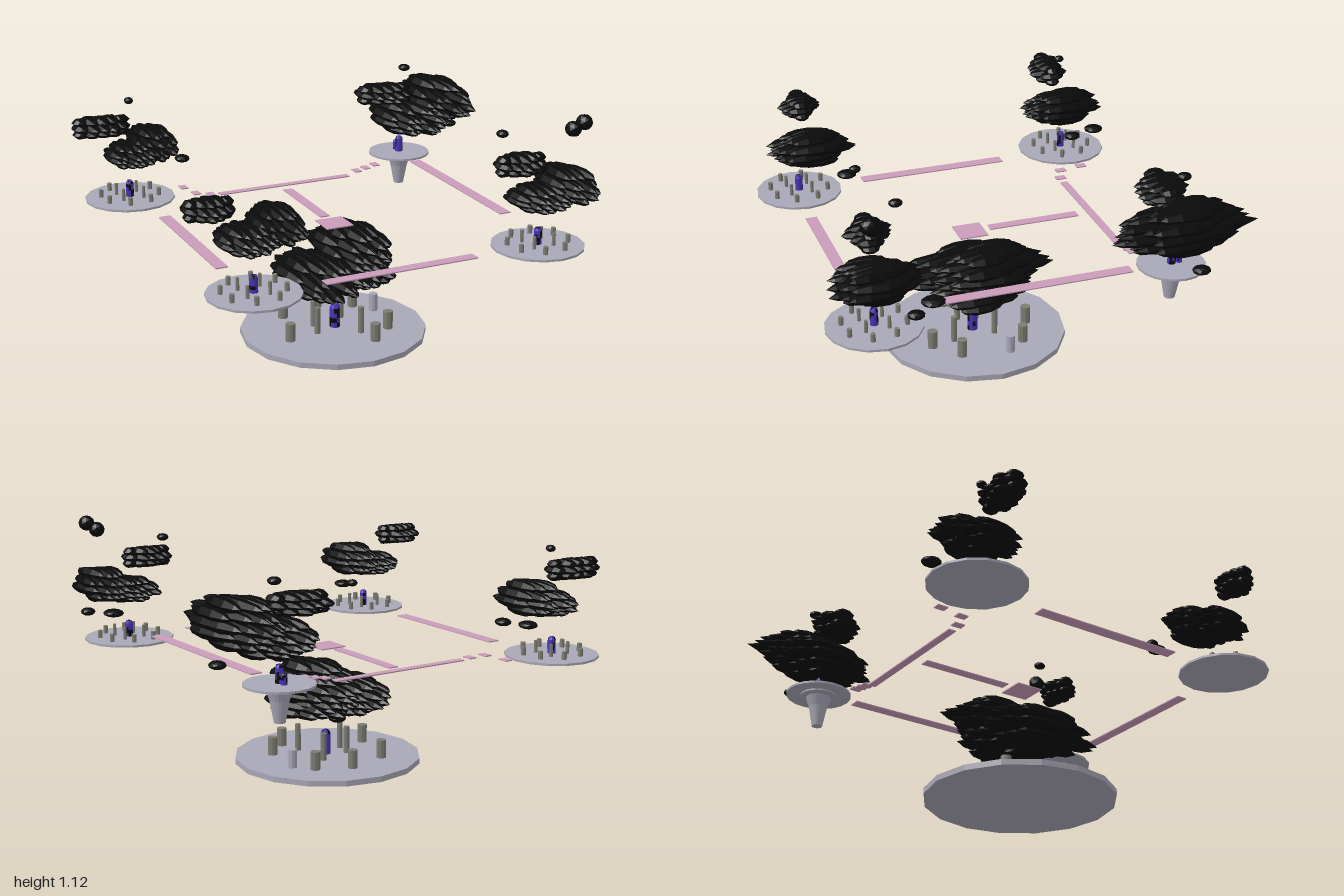
import * as THREE from 'three';
import { mergeGeometries } from 'three/addons/utils/BufferGeometryUtils.js';

const mat = (name, color) => {
  const m = new THREE.MeshStandardMaterial({ color, flatShading: true });
  m.name = name;
  return m;
};

export function createModel() {
  const model = new THREE.Group();
  model.name = 'floatingIslands';
  const stone = mat('paleStone', 0xa9a7b6);
  const pillarMat = mat('greyPillar', 0x7d7c72);
  const pink = mat('pinkWalkway', 0xc99cba);
  const violet = mat('violetCrystal', 0x4a34b8);
  const black = mat('blackLeaf', 0x0a0a0a);

  let seed = 7;
  const rand = () => (seed = (seed * 16807) % 2147483647) / 2147483647;

  const add = (name, geometry, material, x = 0, y = 0, z = 0, parent = model) => {
    const m = new THREE.Mesh(geometry, material);
    m.name = name;
    m.position.set(x, y, z);
    parent.add(m);
    return m;
  };
  // Upright cylinder standing on height y
  const post = (name, r, h, sides, material, x, y, z) =>
    add(name, new THREE.CylinderGeometry(r, r, h, sides), material, x, y + h / 2, z);

  // Domed crystal post with scattered dark facets
  const crystal = (r, h, x, y, z) => {
    const profile = [[r, 0], [r, 0.2], [r, 0.4], [r, 0.6], [r, 0.8], [r * 0.75, 0.94], [0, 1]]
      .map(([a, b]) => new THREE.Vector2(a, b * h));
    const g = new THREE.LatheGeometry(profile, 10);
    for (let i = 0; i < g.index.count; i += 6) g.addGroup(i, 6, rand() < 0.3 ? 1 : 0);
    add('crystal', g, [violet, black], x, y, z);
  };

  // Cluster of pointed leaves lying along z, filling an ellipsoid
  const canopy = (x, y, z, rx, ry, rz, nx = 6, ny = 4) => {
    const leaves = [];
    for (let i = 0; i < nx; i++) {
      for (let j = 0; j < ny; j++) {
        const u = ((i + 0.5) / nx) * 2 - 1, v = ((j + 0.5) / ny) * 2 - 1;
        const d = u * u + v * v;
        if (d > 1.15) continue;
        const half = rz * Math.max(0.4, Math.sqrt(Math.max(0, 1.1 - d))) * (0.82 + 0.2 * rand());
        const leaf = new THREE.SphereGeometry(1, 6, 5);
        leaf.rotateX(Math.PI / 2);
        leaf.scale((rx / nx) * 1.6, (ry / ny) * 1.5, half);
        leaf.rotateY((rand() - 0.3) * 0.2);
        leaf.translate(u * rx * 0.9, v * ry * 0.9, (rand() - 0.5) * rz * 0.15 + u * rz * 0.12);
        leaves.push(leaf);
      }
    }
    add('leafCluster', mergeGeometries(leaves), black, x, y, z);
  };
  const tuft = (x, y, z, r = 0.025, ry = 0.018) => {
    const g = new THREE.IcosahedronGeometry(1, 1);
    g.scale(r, ry, r * 1.15);
    add('leafTuft', g, black, x, y, z);
  };

  // Central island
  post('centralPlatform', 0.43, 0.026, 16, stone, -0.01, 0, 0.04);
  crystal(0.024, 0.118, -0.003, 0.026, 0.045);
  [[-0.255, 0.11], [0.095, 0.27], [0.21, 0.165], [0.175, -0.14], [-0.18, -0.15], [0.02, -0.21]]
    .forEach(([x, z]) => post('outerPillar', 0.023, 0.084, 10, pillarMat, x, 0.026, z));
  post('palePillar', 0.021, 0.084, 10, stone, 0.243, 0.026, -0.055);
  [[-0.11, 0.085], [0.065, -0.04], [0.075, 0.16], [-0.09, 0.0]]
    .forEach(([x, z]) => post('innerPillar', 0.014, 0.126, 10, pillarMat, x, 0.026, z));
  canopy(-0.1, 0.3, 0.06, 0.17, 0.085, 0.31, 7, 4);
  canopy(0.1, 0.385, -0.01, 0.145, 0.11, 0.28, 6, 5);
  canopy(0.07, 0.29, 0.03, 0.17, 0.06, 0.26, 6, 3);
  tuft(-0.03, 0.205, -0.01, 0.04, 0.022);

  // Three flat corner islands
  const corner = (cx, cz, r) => {
    post('cornerPlatform', r, 0.01, 16, stone, cx, 0.536, cz);
    crystal(0.018, 0.078, cx, 0.546, cz);
    for (let i = 0; i < 8; i++) {
      const a = (i / 8) * Math.PI * 2 + 0.3;
      post('outerPillar', 0.011, 0.036, 8, pillarMat,
        cx + 0.135 * Math.cos(a), 0.546, cz + 0.135 * Math.sin(a));
    }
    for (let i = 0; i < 4; i++) {
      const a = (i / 4) * Math.PI * 2 + 0.75;
      post('innerPillar', 0.008, 0.055, 8, pillarMat,
        cx + 0.07 * Math.cos(a), 0.546, cz + 0.07 * Math.sin(a));
    }
  };
  corner(-0.665, 0.69, 0.2);
  corner(0.665, 0.69, 0.205);
  corner(-0.735, -0.67, 0.21);

  // Front right-hand island leaves
  canopy(-0.68, 0.765, 0.66, 0.12, 0.055, 0.17);
  canopy(-0.55, 0.805, 0.64, 0.1, 0.075, 0.2);
  canopy(-0.83, 0.905, 0.635, 0.1, 0.045, 0.1, 5, 3);
  tuft(-0.42, 0.708, 0.515, 0.04);
  tuft(-0.445, 0.715, 0.47, 0.025);
  // Back right-hand island leaves
  canopy(-0.74, 0.765, -0.62, 0.11, 0.055, 0.17);
  canopy(-0.63, 0.805, -0.64, 0.1, 0.075, 0.2);
  canopy(-0.87, 0.91, -0.64, 0.13, 0.045, 0.1, 5, 3);
  tuft(-0.52, 0.715, -0.755, 0.04);
  tuft(-0.485, 0.71, -0.63, 0.035);
  tuft(-0.73, 1.015, -0.65, 0.021, 0.016);
  // Front left-hand island leaves
  canopy(0.65, 0.765, 0.71, 0.12, 0.055, 0.17);
  canopy(0.79, 0.805, 0.7, 0.1, 0.075, 0.2);
  canopy(0.57, 0.915, 0.68, 0.11, 0.045, 0.1, 5, 3);
  tuft(0.84, 0.71, 0.49, 0.045);
  tuft(0.92, 0.71, 0.585, 0.032);
  tuft(0.55, 1.02, 0.555, 0.026, 0.017);
  tuft(0.8, 1.055, 0.72, 0.035, 0.035);
  tuft(0.84, 1.085, 0.74, 0.035, 0.035);

  // Spired island
  const spire = [[0, 0.435], [0.024, 0.435], [0.042, 0.53], [0.058, 0.577], [0.085, 0.582],
    [0.085, 0.589], [0.15, 0.589], [0.15, 0.599], [0, 0.599]].map(([a, b]) => new THREE.Vector2(a, b));
  add('spiredPlatform', new THREE.LatheGeometry(spire, 20), stone, 0.667, 0, -0.63);
  crystal(0.018, 0.08, 0.667, 0.599, -0.63);
  crystal(0.014, 0.05, 0.667, 0.599, -0.665);
  canopy(0.7, 0.785, -0.6, 0.16, 0.075, 0.27, 7, 4);
  canopy(0.84, 0.86, -0.6, 0.125, 0.105, 0.3, 6, 5);
  canopy(0.57, 0.91, -0.61, 0.13, 0.045, 0.13, 5, 3);
  tuft(0.67, 0.71, -0.64, 0.04, 0.02);
  tuft(0.95, 0.71, -0.63, 0.035);
  tuft(0.7, 1.02, -0.65, 0.028, 0.017);

  // Walkways and stepping slabs: x, y, z, width, depth, turn
  const slab = (name, x, y, z, w, d, turn = 0) => {
    add(name, new THREE.BoxGeometry(w, 0.005, d), pink, x, y, z).rotation.y = turn;
  };
  slab('frontWalkway', -0.005, 0.541, 0.702, 0.71, 0.052, 0.01);
  slab('rightWalkway', -0.681, 0.542, 0.022, 0.055, 0.71, 0.004);
  slab('leftWalkway', 0.663, 0.598, -0.015, 0.054, 0.86, 0.004);
  slab('backWalkway', 0, 0.541, -0.533, 0.675, 0.036);
  slab('centreWalkway', -0.013, 0.537, -0.255, 0.046, 0.43);
  slab('centreLanding', -0.01, 0.535, 0.052, 0.13, 0.13);
  [[-0.468, 0.551, -0.672], [-0.446, 0.553, -0.558], [-0.381, 0.546, -0.533],
    [0.385, 0.56, -0.533], [0.432, 0.569, -0.533], [0.482, 0.579, -0.533]]
    .forEach(([x, y, z]) => slab('steppingSlab', x, y, z, 0.035, 0.05));

  return model;
}
